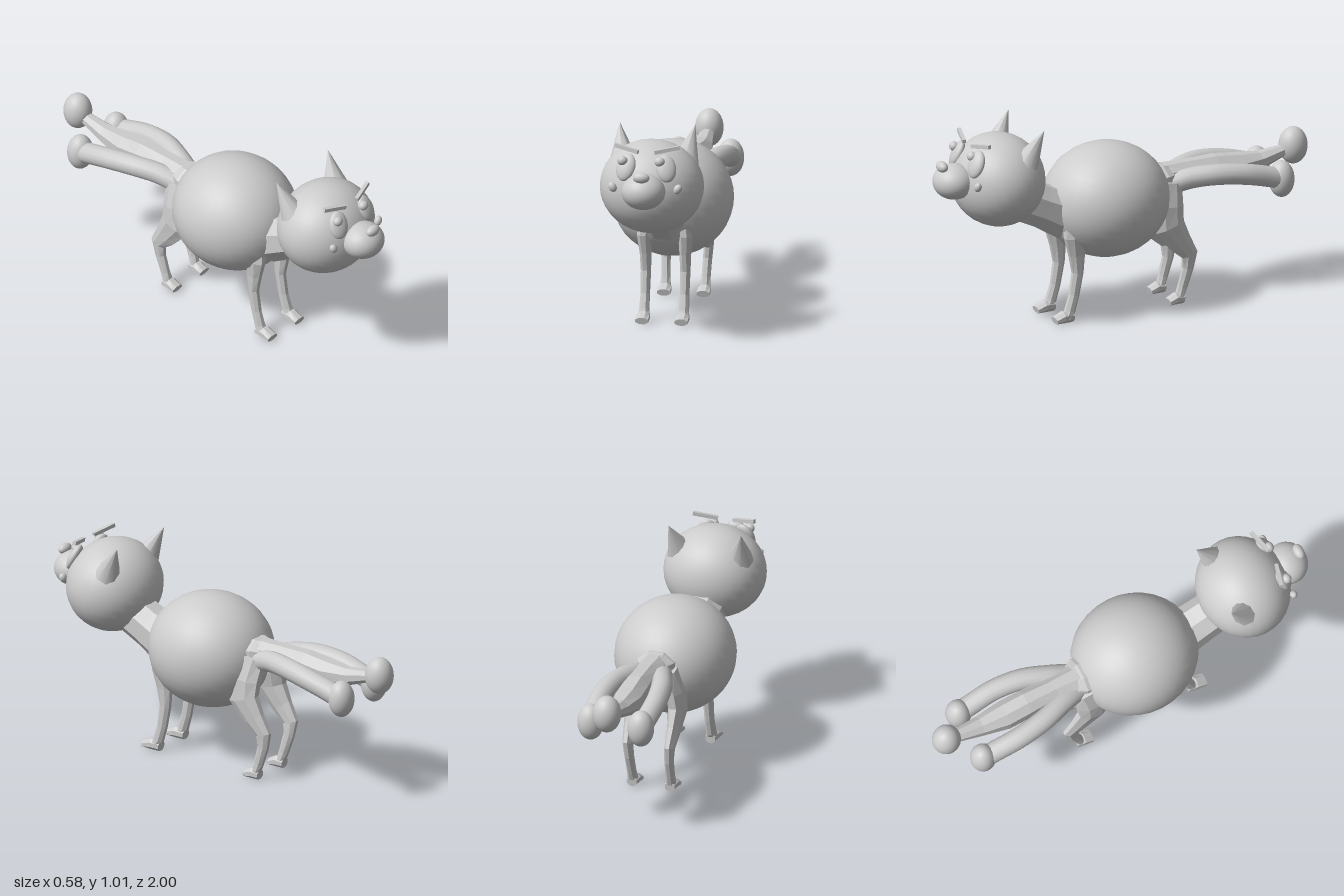
import * as THREE from 'three';

const grey = new THREE.MeshStandardMaterial({ color: 0xcccccc });
grey.name = 'plain grey';

// Faceted limb through rings [x, y, z, half width in x, half depth across the path]
function loft(rings, sides = 8) {
  const pos = [], index = [], n = rings.length;
  const centre = r => new THREE.Vector3(0, r[1], r[2]);
  rings.forEach((r, i) => {
    const t = centre(rings[Math.min(i + 1, n - 1)]).sub(centre(rings[Math.max(i - 1, 0)])).normalize();
    const e = t.cross(new THREE.Vector3(1, 0, 0));
    for (let j = 0; j < sides; j++) {
      const a = (j + 0.5) / sides * Math.PI * 2, c = Math.cos(a) * r[3], s = Math.sin(a) * r[4];
      pos.push(r[0] + c, r[1] + e.y * s, r[2] + e.z * s);
    }
  });
  for (let i = 0; i < n - 1; i++) {
    for (let j = 0; j < sides; j++) {
      const k = (j + 1) % sides, a = i * sides, b = a + sides;
      index.push(a + j, a + k, b + k, a + j, b + k, b + j);
    }
  }
  const last = (n - 1) * sides;
  for (let j = 1; j < sides - 1; j++) {
    index.push(0, j + 1, j, last, last + j, last + j + 1);
  }
  const g = new THREE.BufferGeometry();
  g.setAttribute('position', new THREE.Float32BufferAttribute(pos, 3));
  g.setIndex(index);
  const flat = g.toNonIndexed();
  flat.computeVertexNormals();
  return flat;
}

export function createModel() {
  const model = new THREE.Group();
  model.name = 'fox';

  function add(name, geometry) {
    const m = new THREE.Mesh(geometry, grey);
    m.name = name;
    model.add(m);
    return m;
  }
  function ball(name, p, r, rot = [0, 0, 0]) {
    const m = add(name, new THREE.SphereGeometry(1, 32, 20));
    m.position.set(...p);
    m.scale.set(...r);
    m.rotation.set(...rot);
    return m;
  }

  // Body, head and muzzle
  ball('body', [0, 0.553, 0.08], [0.29, 0.279, 0.31]);
  ball('head', [0, 0.74, 0.663], [0.249, 0.225, 0.223]);
  ball('muzzle', [0, 0.765, 0.9], [0.105, 0.086, 0.1]);
  ball('nose', [0, 0.847, 0.963], [0.04, 0.026, 0.025]);

  // Neck and rump
  add('neck', loft([
    [0, 0.5, 0.2, 0.1, 0.1],
    [0, 0.52, 0.33, 0.11, 0.125],
    [0, 0.575, 0.44, 0.105, 0.11],
    [0, 0.64, 0.58, 0.1, 0.11],
  ]));
  add('rump', loft([
    [0, 0.58, -0.1, 0.11, 0.09],
    [0, 0.61, -0.22, 0.1, 0.075],
    [0, 0.61, -0.31, 0.05, 0.05],
  ]));

  // Middle tail
  add('middleTail', loft([
    [0, 0.62, -0.2, 0.075, 0.06],
    [0, 0.625, -0.35, 0.06, 0.055],
    [0, 0.61, -0.5, 0.068, 0.075],
    [0, 0.6, -0.62, 0.07, 0.072],
    [0, 0.615, -0.75, 0.05, 0.045],
    [0, 0.65, -0.9, 0.03, 0.025],
  ]));
  ball('middleTailTip', [0, 0.662, -0.93], [0.068, 0.091, 0.07]);

  for (const [side, s] of [['left', 1], ['right', -1]]) {
    // Side tail
    const path = new THREE.CatmullRomCurve3([
      [0.045, 0.585, -0.25], [0.075, 0.61, -0.34], [0.115, 0.62, -0.46],
      [0.135, 0.605, -0.6], [0.132, 0.575, -0.72], [0.127, 0.55, -0.8],
    ].map(p => new THREE.Vector3(p[0] * s, p[1], p[2])));
    add(side + 'Tail', new THREE.TubeGeometry(path, 24, 0.051, 14));
    ball(side + 'TailTip', [s * 0.126, 0.55, -0.8], [0.064, 0.09, 0.062]);

    // Front leg and paw
    add(side + 'FrontLeg', loft([
      [s * 0.08, 0.54, 0.29, 0.045, 0.06],
      [s * 0.1, 0.42, 0.295, 0.036, 0.062],
      [s * 0.096, 0.33, 0.288, 0.028, 0.043],
      [s * 0.095, 0.24, 0.283, 0.025, 0.03],
      [s * 0.095, 0.13, 0.302, 0.023, 0.027],
      [s * 0.096, 0.055, 0.325, 0.025, 0.028],
      [s * 0.096, 0.02, 0.345, 0.03, 0.022],
    ]));
    add(side + 'FrontPaw', loft([
      [s * 0.095, 0.025, 0.31, 0.026, 0.026],
      [s * 0.095, 0.028, 0.36, 0.033, 0.03],
      [s * 0.095, 0.017, 0.405, 0.034, 0.018],
    ]));

    // Hind leg and paw
    add(side + 'HindLeg', loft([
      [s * 0.06, 0.61, -0.22, 0.05, 0.075],
      [s * 0.095, 0.5, -0.2, 0.048, 0.085],
      [s * 0.108, 0.4, -0.2, 0.042, 0.085],
      [s * 0.108, 0.31, -0.262, 0.03, 0.062],
      [s * 0.105, 0.24, -0.315, 0.024, 0.044],
      [s * 0.1, 0.17, -0.308, 0.022, 0.03],
      [s * 0.097, 0.08, -0.28, 0.022, 0.025],
      [s * 0.095, 0.022, -0.26, 0.028, 0.022],
    ]));
    add(side + 'HindPaw', loft([
      [s * 0.095, 0.024, -0.285, 0.026, 0.025],
      [s * 0.095, 0.028, -0.245, 0.033, 0.029],
      [s * 0.095, 0.017, -0.205, 0.034, 0.018],
    ]));

    // Ear
    const base = new THREE.Vector3(s * 0.15, 0.85, 0.59);
    const tip = new THREE.Vector3(s * 0.182, 1.01, 0.508);
    const dir = tip.clone().sub(base);
    const ear = add(side + 'Ear', new THREE.ConeGeometry(0.066, dir.length(), 9));
    ear.position.copy(base).add(tip).multiplyScalar(0.5);
    ear.quaternion.setFromUnitVectors(new THREE.Vector3(0, 1, 0), dir.normalize());

    // Eye, with both pupils glancing to the same side
    ball(side + 'Eye', [s * 0.097, 0.866, 0.83], [0.048, 0.068, 0.026], [-0.45, s * 0.25, s * 0.2]);
    ball(side + 'Pupil', [s * 0.09 - 0.022, 0.9, 0.84], [0.025, 0.023, 0.022]);

    // Brow
    const brow = add(side + 'Brow', new THREE.BoxGeometry(0.122, 0.018, 0.018));
    brow.position.set(s * 0.097, 0.951, 0.805);
    brow.rotation.set(0, s * 0.28, s * 0.18);

    // Cheek tuft
    ball(side + 'Cheek', [s * 0.157, 0.772, 0.853], [0.019, 0.025, 0.018], [0, 0, -s * 0.5]);
  }
  return model;
}
